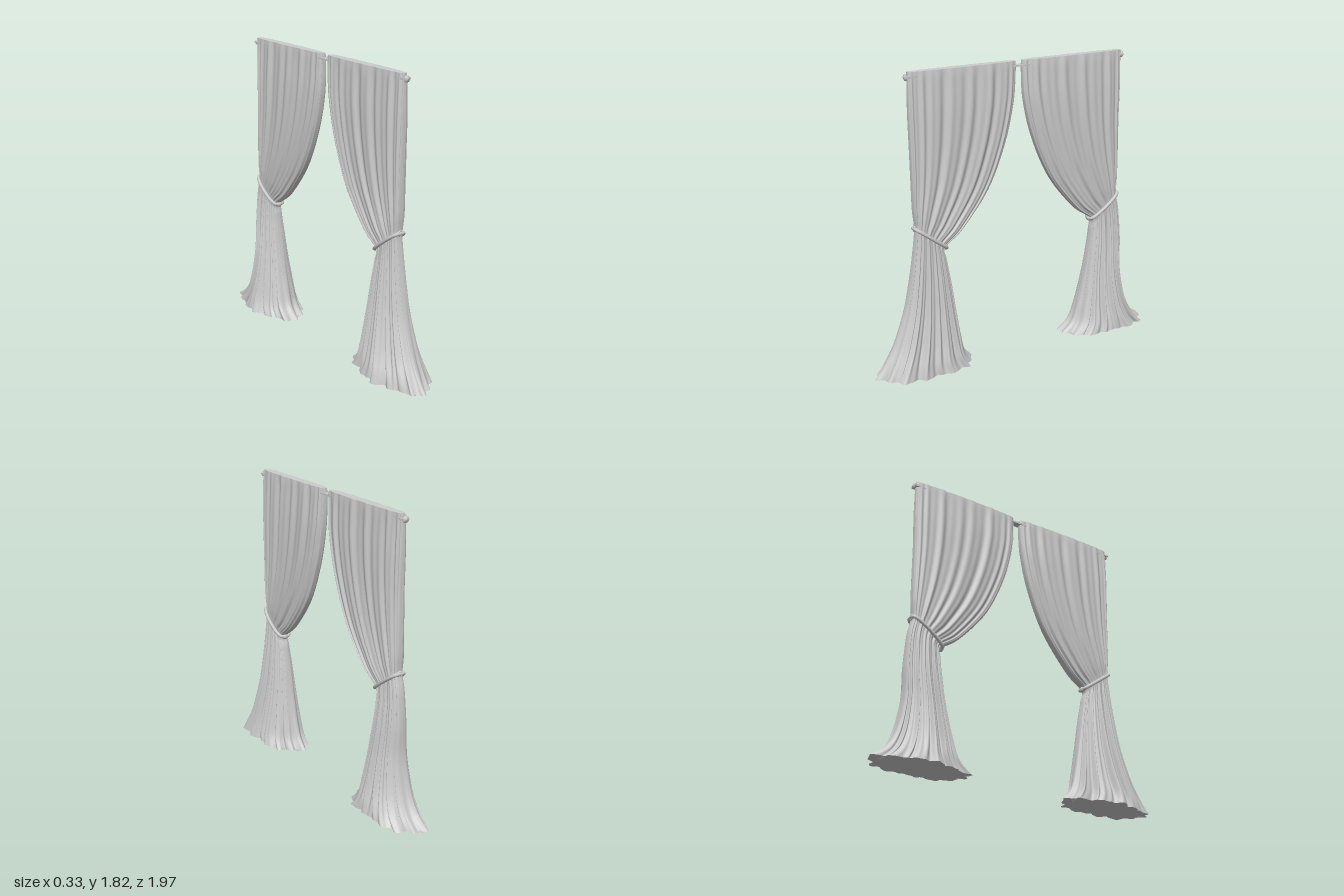
import * as THREE from 'three';

const material = new THREE.MeshStandardMaterial({ color: 0xcccccc, roughness: 0.9 });
const COLS = 288, ROWS = 84;
const TIE = 6; // index of the gathered row

// Rows from header to hem:
// [outer y, outer z, inner y, inner z, half depth, fold depth, hem ripple]
const leftRows = [
  [1.83, 0.73, 1.83, 0.02, 0.034, 0.25, 0],
  [1.76, 0.73, 1.76, 0.02, 0.046, 0.45, 0],
  [1.60, 0.73, 1.58, 0.037, 0.056, 0.45, 0],
  [1.40, 0.725, 1.34, 0.098, 0.058, 0.42, 0],
  [1.20, 0.72, 1.08, 0.215, 0.058, 0.40, 0],
  [1.02, 0.715, 0.86, 0.395, 0.056, 0.36, 0],
  [0.91, 0.705, 0.765, 0.515, 0.046, 0.25, 0],
  [0.80, 0.715, 0.69, 0.508, 0.052, 0.34, 0],
  [0.60, 0.745, 0.55, 0.482, 0.072, 0.42, 0],
  [0.40, 0.79, 0.38, 0.452, 0.098, 0.44, 0.03],
  [0.20, 0.865, 0.20, 0.415, 0.135, 0.40, 0.07],
  [0.08, 0.94, 0.08, 0.375, 0.165, 0.30, 0.14],
  [0.012, 1.0, 0.012, 0.31, 0.18, 0.20, 0.22],
];
const rightOuter = [0.755, 0.755, 0.755, 0.75, 0.75, 0.748, 0.742, 0.765, 0.78, 0.785, 0.83, 0.90, 1.0];
const rightInner = [0.03, 0.03, 0.045, 0.11, 0.235, 0.42, 0.548, 0.553, 0.535, 0.505, 0.46, 0.41, 0.32];
const rightRows = leftRows.map((r, i) => [r[0], rightOuter[i], r[2], rightInner[i], ...r.slice(4)]);

// Smooth interpolation of the row table
function rowAt(rows, t) {
  const n = rows.length - 1, i = Math.min(Math.floor(t), n - 1), f = t - i;
  const p = k => rows[Math.max(0, Math.min(n, k))];
  return rows[0].map((_, c) => {
    const a = p(i - 1)[c], b = p(i)[c], d = p(i + 1)[c], e = p(i + 2)[c];
    const m0 = (d - a) / 2, m1 = (e - b) / 2;
    return b + f * (m0 + f * (3 * (d - b) - 2 * m0 - m1 + f * (2 * (b - d) + m0 + m1)));
  });
}

// Point on the cloth: t runs down the rows, a runs round the section
function clothPoint(rows, side, t, a, folded = true) {
  const [yo, zo, yi, zi, half, depth, ripple] = rowAt(rows, t);
  const phase = side > 0 ? 0.4 : 2.1;
  const drift = 0.25 * Math.sin(t * 0.5 + phase);
  const lobes = 0.42 * Math.sin(18 * a + phase + drift)
    + 0.3 * Math.sin(31 * a + 2 * phase - drift)
    + 0.28 * Math.sin(11 * a + 3 * phase + 2 * drift);
  const fold = folded ? 1 - depth * (0.5 - 0.5 * lobes) : 1;
  const hem = 1 - ripple * (0.5 + 0.5 * Math.sin(9 * a + phase) * Math.cos(4 * a + phase));
  const c = -Math.cos(a), s = Math.sin(a);
  const power = THREE.MathUtils.lerp(0.45, 0.95, THREE.MathUtils.smoothstep(t, 6, 12));
  const x = Math.sign(s) * Math.pow(Math.abs(s), power) * half * fold * hem;
  const k = (1 + c * hem) / 2;
  return new THREE.Vector3(x, yi + (yo - yi) * k, side * (zi + (zo - zi) * k));
}

function named(geometry, name) {
  const mesh = new THREE.Mesh(geometry, material);
  mesh.name = name;
  return mesh;
}

function makeGeometry(points, index) {
  const g = new THREE.BufferGeometry().setFromPoints(points);
  g.setIndex(index);
  g.computeVertexNormals();
  return g;
}

function drape(rows, side) {
  const points = [], index = [], last = rows.length - 1;
  const tri = (a, b, c) => side > 0 ? index.push(a, b, c) : index.push(a, c, b);
  for (let i = 0; i <= ROWS; i++)
    for (let j = 0; j < COLS; j++)
      points.push(clothPoint(rows, side, (i / ROWS) * last, (j / COLS) * Math.PI * 2));
  for (let i = 0; i < ROWS; i++)
    for (let j = 0; j < COLS; j++) {
      const a = i * COLS + j, b = i * COLS + (j + 1) % COLS;
      tri(a, b, a + COLS);
      tri(b, b + COLS, a + COLS);
    }
  return makeGeometry(points, index);
}

// Flat closure of the header or the hem, bridged across the section
function closure(rows, side, t, up) {
  const points = [], index = [];
  for (let j = 0; j < COLS; j++) points.push(clothPoint(rows, side, t, (j / COLS) * Math.PI * 2));
  const tri = (a, b, c) => (side > 0) === up ? index.push(a, c, b) : index.push(a, b, c);
  for (let j = 0; j < COLS / 2; j++) {
    const a = j, b = j + 1, c = (COLS - j) % COLS, d = COLS - j - 1;
    tri(a, b, c);
    tri(b, d, c);
  }
  return makeGeometry(points, index);
}

// Cord following the gathered section, with a knot at the inner end
function tieBack(rows, side) {
  const group = new THREE.Group();
  group.name = 'tieBack';
  const path = [];
  for (let j = 0; j < 32; j++) {
    const a = (j / 32) * Math.PI * 2;
    const p = clothPoint(rows, side, TIE, a, false);
    p.x += 0.004 * Math.sin(a);
    p.z -= side * 0.006 * Math.cos(a);
    path.push(p);
  }
  group.add(named(new THREE.TubeGeometry(new THREE.CatmullRomCurve3(path, true), 120, 0.011, 8, true), 'cord'));
  const knot = named(new THREE.SphereGeometry(0.018, 14, 10), 'knot');
  knot.position.copy(path[0]);
  knot.scale.set(1.3, 1, 0.8);
  const loop = named(new THREE.TorusGeometry(0.014, 0.005, 8, 18), 'holdLoop');
  loop.position.copy(path[16]);
  group.add(knot, loop);
  return group;
}

export function createModel() {
  const model = new THREE.Group();
  model.name = 'curtains';

  for (const [rows, side, name] of [[leftRows, 1, 'frontCurtain'], [rightRows, -1, 'backCurtain']]) {
    const curtain = new THREE.Group();
    curtain.name = name;
    curtain.add(
      named(drape(rows, side), 'drape'),
      named(closure(rows, side, 0, true), 'header'),
      named(closure(rows, side, rows.length - 1, false), 'hem'),
      tieBack(rows, side));
    model.add(curtain);
  }

  // Flat rail with a small finial at each end
  const rail = named(new THREE.BoxGeometry(0.045, 0.01, 1.52), 'rail');
  rail.position.set(0, 1.8, -0.013);
  model.add(rail);
  const profile = [[0, 0], [0.009, 0], [0.009, 0.008], [0.02, 0.012], [0.02, 0.018], [0.008, 0.024], [0, 0.026]]
    .map(p => new THREE.Vector2(...p));
  for (const [z, side] of [[0.727, 1], [-0.753, -1]]) {
    const finial = named(new THREE.LatheGeometry(profile, 16), 'finial');
    finial.position.set(0, 1.8, z);
    finial.rotation.x = side * Math.PI / 2;
    model.add(finial);
  }
  return model;
}
